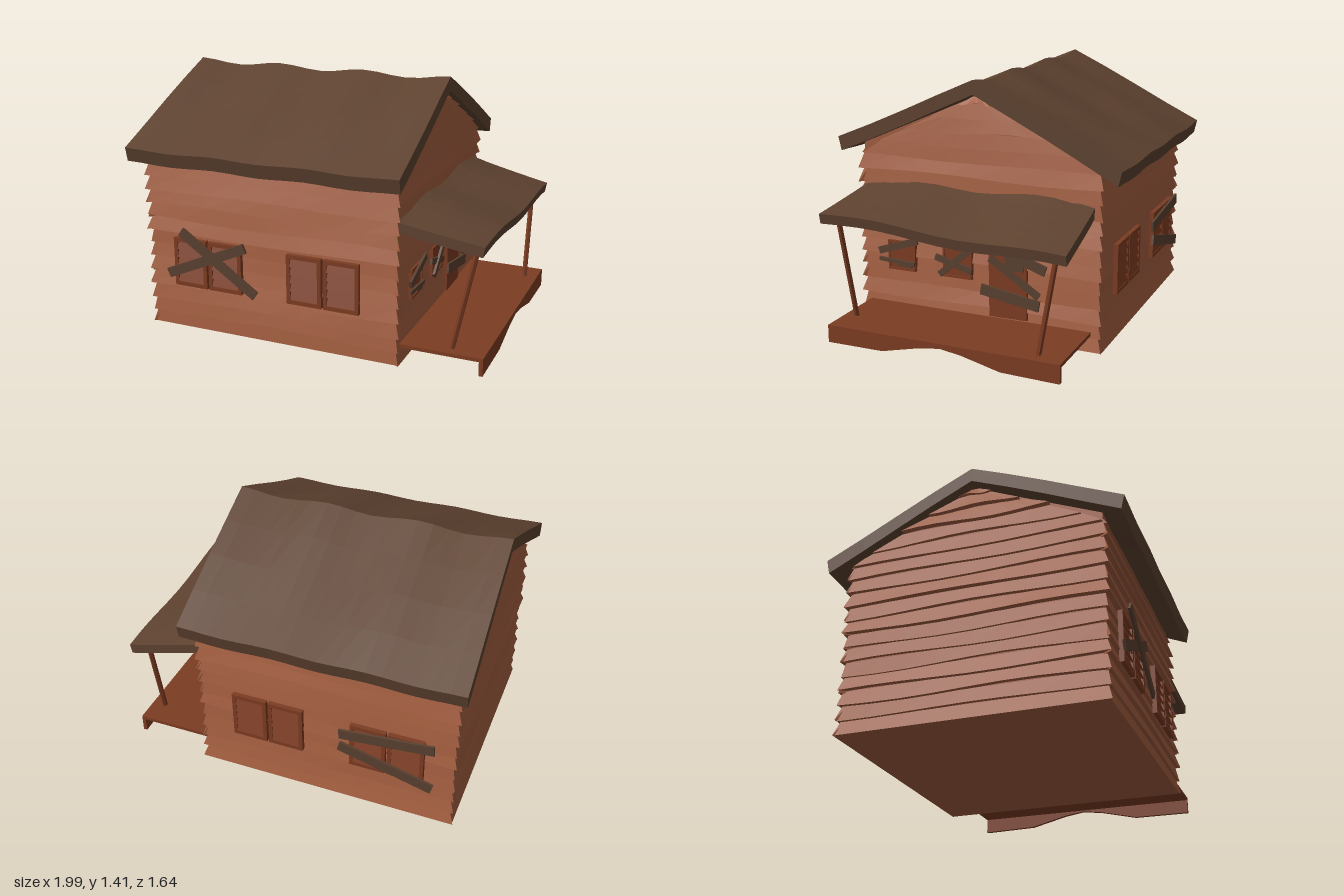
import * as THREE from 'three';

const mat = (color) => new THREE.MeshStandardMaterial({ color, flatShading: true, roughness: 0.9 });
const siding = mat(0xa05c3e);
const roofing = mat(0x5e4230);
const redWood = mat(0x7c3c22);
const plankWood = mat(0x5a4130);

// Seeded noise in 0..1
let seed = 7;
const rand = () => (seed = (seed * 16807) % 2147483647) / 2147483647;

function add(parent, name, geo, material, x = 0, y = 0, z = 0) {
  const m = new THREE.Mesh(geo, material);
  m.name = name;
  m.position.set(x, y, z);
  parent.add(m);
  return m;
}

// Unit box whose vertices are moved by a rule
function bentBox(nx, nz, rule) {
  const geo = new THREE.BoxGeometry(1, 1, 1, nx, 1, nz);
  const p = geo.attributes.position;
  for (let i = 0; i < p.count; i++) p.setXYZ(i, ...rule(p.getX(i), p.getY(i), p.getZ(i)));
  geo.computeVertexNormals();
  return geo;
}

const box = (w, h, d) => new THREE.BoxGeometry(w, h, d);

// Nailed plank between two points on a wall
function plank(wall, x1, y1, x2, y2, width, z) {
  const m = add(wall, 'plank', box(Math.hypot(x2 - x1, y2 - y1), width, 0.014), plankWood, (x1 + x2) / 2, (y1 + y2) / 2, z);
  m.rotation.z = Math.atan2(y2 - y1, x2 - x1);
}

// Overlapping clapboards; each leans out at its lower edge
function clapboards(wall, half, gable) {
  const pitch = 0.08;
  const top = gable ? 1.325 : 0.99;
  const halfAt = (y) => (gable ? Math.min(half, Math.max(0.005, (1.335 - y) / 0.49)) : half);
  for (let y0 = 0.01; y0 < top - 0.02; y0 += pitch) {
    const y1 = Math.min(y0 + pitch, top);
    const out = 0.017 + 0.016 * rand();
    const phase = rand() * 6;
    const sag = y0 < 0.05 ? 0 : 0.004 + 0.006 * rand();
    const geo = bentBox(8, 1, (x, y, z) => {
      const low = y < 0;
      const depth = z < 0 ? -0.02 : low ? out : 0.004;
      const len = halfAt(low ? y0 : y1) + (y0 < 0.95 ? Math.max(depth, 0) : 0);
      return [x * 2 * len, low ? y0 + sag * Math.sin(x * 7 + phase) : y1, depth];
    });
    add(wall, 'clapboard', geo, siding);
  }
}

// Pair of louvred shutters
function shutters(wall, cx, cy) {
  const g = new THREE.Group();
  g.name = 'shutters';
  g.position.set(cx, cy, 0.03);
  wall.add(g);
  for (const s of [-1, 1]) {
    const x = s * 0.107;
    add(g, 'shutterBack', box(0.19, 0.27, 0.012), redWood, x, 0, -0.004);
    for (const t of [-1, 1]) {
      add(g, 'stile', box(0.022, 0.28, 0.026), redWood, x + t * 0.09, 0, 0.003);
      add(g, 'rail', box(0.17, 0.022, 0.026), redWood, x, t * 0.129, 0.003);
    }
    for (let i = 0; i < 5; i++) {
      const slat = add(g, 'slat', box(0.16, 0.044, 0.008), redWood, x, (i - 2) * 0.047, 0.006);
      slat.rotation.x = -0.35;
    }
  }
}

// Small framed window
function smallWindow(wall, cx, cy, w, h) {
  add(wall, 'windowPane', box(w, h, 0.012), redWood, cx, cy, 0.022);
  for (const s of [-1, 1]) {
    add(wall, 'windowFrame', box(0.012, h, 0.024), redWood, cx + s * (w / 2 - 0.006), cy, 0.024);
    add(wall, 'windowFrame', box(w, 0.012, 0.024), redWood, cx, cy + s * (h / 2 - 0.006), 0.024);
  }
}

function post(parent, a, b) {
  const from = new THREE.Vector3(...a);
  const dir = new THREE.Vector3(...b).sub(from);
  const m = add(parent, 'porchPost', new THREE.CylinderGeometry(0.015, 0.015, dir.length(), 6), redWood);
  m.position.copy(from).addScaledVector(dir, 0.5);
  m.quaternion.setFromUnitVectors(new THREE.Vector3(0, 1, 0), dir.normalize());
}

export function createModel() {
  const house = new THREE.Group();
  house.name = 'cabin';
  const cx = -0.205, halfX = 0.722, halfZ = 0.69;

  // Solid body with gable ends (profile drawn in -z, y)
  const profile = new THREE.Shape([[-halfZ, 0.01], [halfZ, 0.01], [halfZ, 0.98], [0, 1.33], [-halfZ, 1.03]]
    .map(([x, y]) => new THREE.Vector2(x, y)));
  const body = add(house, 'body', new THREE.ExtrudeGeometry(profile, { depth: halfX * 2, bevelEnabled: false }), siding, cx - halfX);
  body.rotation.y = Math.PI / 2;

  // Four walls, each in its own local frame facing +z
  const makeWall = (name, x, z, turn, half, gable) => {
    const w = new THREE.Group();
    w.name = name;
    w.position.set(x, 0, z);
    w.rotation.y = turn;
    house.add(w);
    clapboards(w, half, gable);
    return w;
  };
  const front = makeWall('frontWall', cx, halfZ, 0, halfX, false);
  const back = makeWall('backWall', cx, -halfZ, Math.PI, halfX, false);
  const porchWall = makeWall('porchWall', cx + halfX, 0, Math.PI / 2, halfZ, true);
  makeWall('plainWall', cx - halfX, 0, -Math.PI / 2, halfZ, true);

  // Shuttered windows and their planks
  for (const wall of [front, back]) for (const s of [-1, 1]) shutters(wall, s * 0.345 + (wall === front ? -0.02 : 0.02), 0.41);
  plank(front, -0.605, 0.34, -0.125, 0.55, 0.055, 0.056);
  plank(front, -0.51, 0.6, -0.06, 0.29, 0.055, 0.068);
  plank(back, 0.1, 0.48, 0.63, 0.53, 0.06, 0.054);
  plank(back, 0.1, 0.4, 0.63, 0.26, 0.06, 0.058);

  // Door and small windows under the porch
  const door = add(porchWall, 'door', box(0.22, 0.43, 0.02), redWood, 0.19, 0.345, 0.024);
  door.rotation.z = 0.008;
  smallWindow(porchWall, -0.455, 0.405, 0.17, 0.17);
  smallWindow(porchWall, -0.11, 0.405, 0.175, 0.17);
  add(porchWall, 'doorWindow', box(0.11, 0.07, 0.01), plankWood, 0.23, 0.44, 0.034);
  plank(porchWall, 0.085, 0.545, 0.415, 0.43, 0.055, 0.05);
  plank(porchWall, 0.09, 0.465, 0.375, 0.28, 0.04, 0.044);
  plank(porchWall, 0.04, 0.285, 0.38, 0.23, 0.06, 0.05);
  plank(porchWall, -0.59, 0.425, -0.35, 0.505, 0.04, 0.046);
  plank(porchWall, -0.59, 0.378, -0.37, 0.365, 0.022, 0.044);
  plank(porchWall, -0.48, 0.355, -0.39, 0.352, 0.02, 0.04);
  plank(porchWall, -0.21, 0.335, 0.04, 0.555, 0.035, 0.05);
  plank(porchWall, -0.24, 0.43, -0.02, 0.37, 0.035, 0.04);

  // Main roof: one sagging folded slab
  add(house, 'mainRoof', bentBox(18, 8, (x, y, z) => {
    const out = Math.abs(z) * 2;
    const X = -0.21 + x * 2 * (0.775 + 0.013 * out);
    const top = 1.407 - (z > 0 ? 0.35 : 0.405) * out
      + (0.013 - 0.008 * out) * Math.cos((X + 0.47) * 12)
      + 0.008 * Math.sin(out * Math.PI) * Math.sin(X * 5 + z * 4);
    return [X, y > 0 ? top : top - 0.078, z * (y > 0 ? 1.645 : 1.61)];
  }), roofing);

  // Porch roof: thin warped lean-to, lower toward the back
  add(house, 'porchRoof', bentBox(5, 12, (x, y, z) => {
    const u = x + 0.5;
    const wallY = 0.828 + 0.012 * Math.cos(z * 13 + 3.4) - 0.02 * Math.pow(Math.abs(z * 2), 6);
    const outerY = 0.7 + 0.07 * z + 0.012 * Math.sin(z * 9 - 1);
    const top = wallY + (outerY - wallY) * Math.pow(u, 0.9);
    const low = y < 0;
    return [0.515 + u * 0.467 - (low ? 0.01 * u : 0), low ? top - 0.055 : top, z * (1.35 + 0.03 * u) + 0.008];
  }), roofing);

  // Porch deck, notched apron and leaning posts
  add(house, 'porchDeck', box(0.465, 0.02, 1.33), redWood, 0.7525, 0.108, 0.005);
  const apron = new THREE.Shape([[-0.67, 0.02], [-0.34, 0.022], [-0.12, 0.075], [0, 0.092], [0.12, 0.075], [0.34, 0.022], [0.66, 0.015], [0.66, 0.118], [-0.67, 0.118]]
    .map(([x, y]) => new THREE.Vector2(x, y)));
  const apronMesh = add(house, 'porchApron', new THREE.ExtrudeGeometry(apron, { depth: 0.022, bevelEnabled: false }), redWood, 0.965);
  apronMesh.rotation.y = Math.PI / 2;
  post(house, [0.8, 0.11, 0.605], [0.925, 0.69, 0.615]);
  post(house, [0.91, 0.11, -0.515], [0.91, 0.63, -0.605]);

  return house;
}
